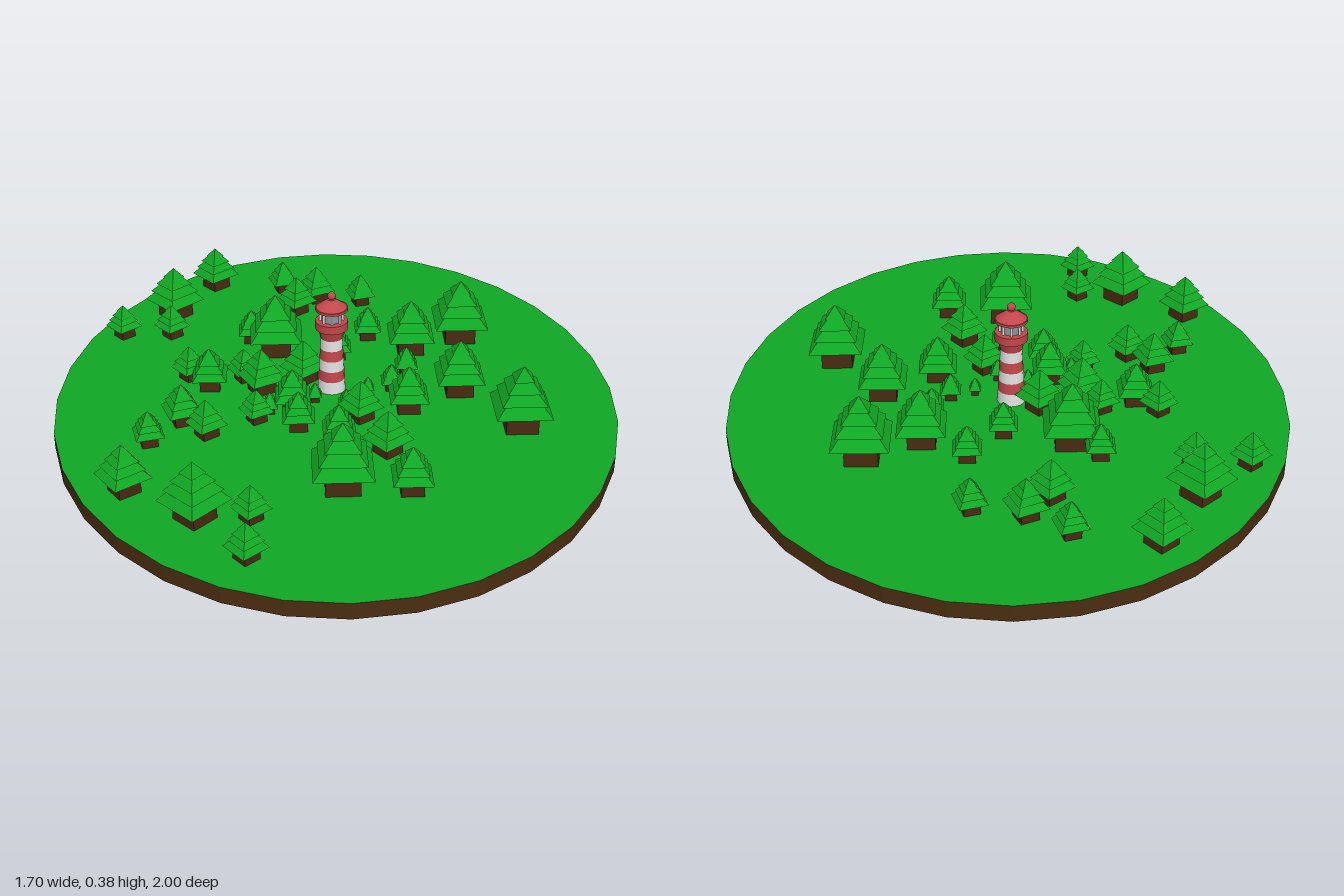
import * as THREE from 'three';

const mat = (name, color) => {
  const m = new THREE.MeshStandardMaterial({ color });
  m.name = name;
  return m;
};

// x, z, skirt width, turn in degrees
const TREES = [
  [0.42, -0.345, 0.168, 0], [0.253, -0.267, 0.143, 0], [0.12, -0.356, 0.085, 0], [0.016, -0.23, 0.085, 0],
  [-0.18, -0.277, 0.164, 0], [-0.259, -0.35, 0.085, 0], [0.227, -0.119, 0.069, 0], [0.174, -0.024, 0.063, 0],
  [0.1, 0, 0.037, 0], [0.38, 0, 0.143, 0], [0.538, 0.208, 0.165, 0], [0.216, 0.098, 0.116, 0],
  [0.03, 0.09, 0.048, 0], [-0.063, 0.04, 0.042, 0], [0, 0.266, 0.095, 0], [-0.116, 0.19, 0.095, 0],
  [-0.132, 0.082, 0.106, 0], [-0.2, 0.1, 0.048, 0], [-0.385, -0.055, 0.106, 0], [0, 0.5, 0.17, 0],
  [0.19, 0.525, 0.112, 0],
];
const TURNED_TREES = [
  [-0.39, -0.755, 0.115, 40], [-0.155, -0.715, 0.082, 17], [-0.04, -0.635, 0.097, 25], [0.11, -0.605, 0.082, 17],
  [-0.11, -0.55, 0.1, 38], [-0.52, -0.545, 0.14, 42], [-0.68, -0.4, 0.085, 40], [-0.522, -0.395, 0.085, 40],
  [-0.45, -0.115, 0.085, 38], [-0.28, -0.1, 0.082, 30], [-0.225, -0.03, 0.113, 28], [-0.095, -0.09, 0.108, 40],
  [-0.46, 0.145, 0.1, 20], [-0.55, 0.26, 0.083, 14], [-0.385, 0.22, 0.092, 35], [-0.24, 0.145, 0.08, 30],
  [0.07, 0.145, 0.1, 35], [0.137, 0.33, 0.108, 38], [-0.6, 0.495, 0.118, 35], [-0.4, 0.63, 0.145, 45],
  [-0.25, 0.64, 0.083, 38], [-0.26, 0.81, 0.087, 40],
];

export function createModel() {
  const model = new THREE.Group();
  const grass = mat('grass green', 0x0fa824);
  const leaf = mat('leaf green', 0x0fa824);
  const earth = mat('earth brown', 0x4a2d10);
  const bark = mat('bark brown', 0x492b11);
  const red = mat('lighthouse red', 0xc4474c);
  const white = mat('lighthouse white', 0xe2e2e2);
  const grey = mat('lantern grey', 0x8f9699);
  for (const m of [grass, leaf, earth, bark]) m.flatShading = true;

  const add = (parent, name, geometry, material, y = 0) => {
    const mesh = new THREE.Mesh(geometry, material);
    mesh.name = name;
    mesh.position.y = y;
    parent.add(mesh);
    return mesh;
  };

  // Oval island: earth sides and base, grass top
  const island = add(model, 'island', new THREE.CylinderGeometry(1, 1, 0.05, 32), [earth, grass, earth], 0.025);
  island.scale.set(0.85, 1, 1);

  // Square-sided frustum of given widths
  const frustum = (top, bottom, height) =>
    new THREE.CylinderGeometry(top * Math.SQRT1_2, bottom * Math.SQRT1_2, height, 4).rotateY(Math.PI / 4);

  // Shared tree parts, for a tree of skirt width 1: bottom y, height, bottom width, top width
  const trunk = frustum(0.58, 0.58, 0.48);
  const tiers = [[0.42, 0.3, 1, 0.5], [0.64, 0.25, 0.8, 0.36], [0.84, 0.22, 0.6, 0.22], [1.02, 0.24, 0.36, 0]]
    .map(([y, h, bottom, top]) => ({ y: y + h / 2, geometry: frustum(top, bottom, h) }));

  for (const [x, z, width, turn] of [...TREES, ...TURNED_TREES]) {
    const tree = new THREE.Group();
    tree.name = 'tree';
    add(tree, 'trunk', trunk, bark, 0.24);
    for (const t of tiers) add(tree, 'foliageTier', t.geometry, leaf, t.y);
    // Smaller trees are a little taller for their width
    tree.scale.set(width, width * 0.9 + 0.012, width);
    tree.rotation.y = THREE.MathUtils.degToRad(turn);
    tree.position.set(x, 0.05, z);
    model.add(tree);
  }

  // Lighthouse
  const house = new THREE.Group();
  house.name = 'lighthouse';
  house.position.set(-0.01, 0, -0.035);
  model.add(house);
  const ring = (name, y0, y1, r0, r1, material) =>
    add(house, name, new THREE.CylinderGeometry(r1, r0, y1 - y0, 16), material, (y0 + y1) / 2);

  // Striped, tapering tower
  const radiusAt = (y) => 0.043 - (y - 0.05) * 0.055;
  const levels = [0.05, 0.09, 0.125, 0.16, 0.195, 0.23];
  for (let i = 0; i < 5; i++) {
    const [a, b] = [levels[i], levels[i + 1]];
    ring('towerStripe', a, b, radiusAt(a), radiusAt(b), i % 2 ? red : white);
  }

  // Flared gallery with its rim
  ring('galleryNeck', 0.23, 0.262, 0.034, 0.042, red);
  ring('galleryFloor', 0.262, 0.288, 0.05, 0.05, red);

  // Lantern room with window bars
  ring('lantern', 0.288, 0.326, 0.03, 0.03, grey);
  for (let i = 0; i < 8; i++) {
    const a = (i / 8) * Math.PI * 2;
    const bar = add(house, 'lanternBar', new THREE.CylinderGeometry(0.004, 0.004, 0.038, 6), white, 0.307);
    bar.position.x = Math.sin(a) * 0.034;
    bar.position.z = Math.cos(a) * 0.034;
  }

  // Roof and ball finial
  ring('roofEave', 0.324, 0.332, 0.05, 0.05, red);
  ring('roof', 0.332, 0.358, 0.047, 0.012, red);
  add(house, 'finial', new THREE.SphereGeometry(0.013, 12, 8), red, 0.369);

  return model;
}
